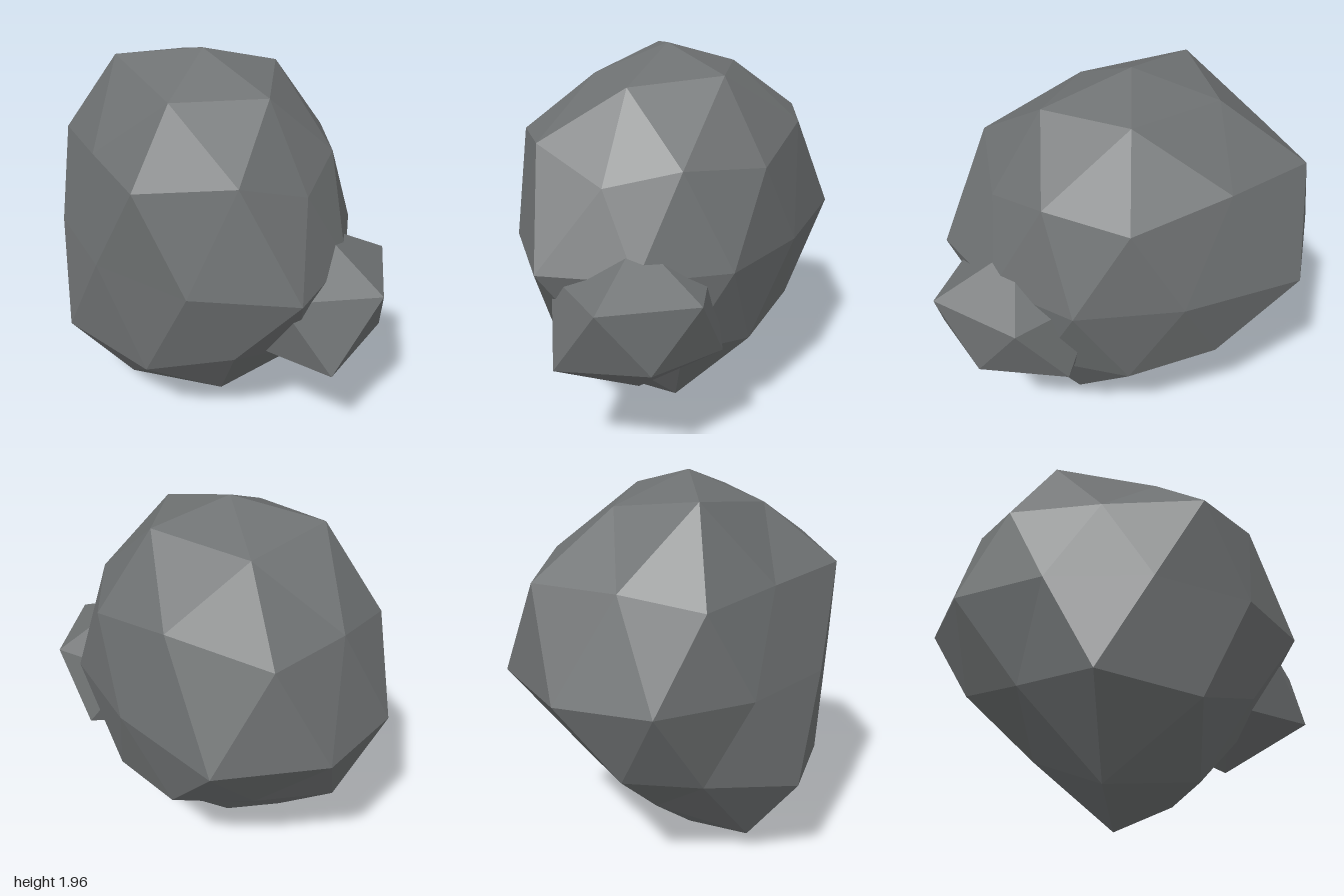
import * as THREE from 'three';
import { ConvexGeometry } from 'three/addons/geometries/ConvexGeometry.js';

// Latitudes of the icosphere rings, as sine values
const VERT = 0.4472, MID = 0.5257, CAP = 0.8507;

// Each ring: sine of latitude, first angle in degrees, then the reach of each
// point around it (angle runs from +x towards +z, evenly spaced).
const bigRings = [
  [1, 0, [0.93]],
  [CAP, 0, [0.936, 0.911, 1.005, 0.935, 0.968]],
  [VERT, 0, [0.87, 1.075, 0.972, 1.115, 0.975]],
  [MID, 36, [1.02, 0.885, 0.95, 1.025, 0.9]],
  [0, 18, [1.065, 0.98, 0.95, 0.92, 0.993, 1.06, 1.155, 0.945, 0.955, 0.915]],
  [-MID, 0, [0.9, 1.035, 0.878, 0.82, 0.93]],
  [-VERT, 36, [0.925, 1.112, 0.917, 0.95, 0.93]],
  [-CAP, 36, [0.957, 1.075, 0.84, 0.82, 0.97]],
  [-1, 0, [1.03]],
];

const smallRings = [
  [1, 0, [0.46]],
  [VERT, 0, [0.475, 0.46, 0.46, 0.46, 0.45]],
  [-VERT, 36, [0.4975, 0.46, 0.46, 0.455, 0.385]],
  [-1, 0, [0.48]],
];

// Faceted boulder: a regular icosphere whose points are pushed in or out
function makeRock(name, rings, scale, centre, material) {
  const points = [];
  for (const [sine, start, reaches] of rings) {
    const flat = Math.sqrt(1 - sine * sine);
    reaches.forEach((reach, i) => {
      const a = THREE.MathUtils.degToRad(start + (i * 360) / reaches.length);
      const dir = new THREE.Vector3(flat * Math.cos(a), sine, flat * Math.sin(a));
      points.push({ dir, reach });
    });
  }
  const geometry = new ConvexGeometry(points.map((p) => p.dir));
  const pos = geometry.attributes.position;
  const v = new THREE.Vector3();
  for (let i = 0; i < pos.count; i++) {
    v.fromBufferAttribute(pos, i);
    const nearest = points.reduce((a, b) => (b.dir.dot(v) > a.dir.dot(v) ? b : a));
    v.multiplyScalar(nearest.reach).multiply(scale);
    pos.setXYZ(i, v.x, v.y, v.z);
  }
  geometry.computeVertexNormals();
  const mesh = new THREE.Mesh(geometry, material);
  mesh.name = name;
  mesh.position.copy(centre);
  return mesh;
}

export function createModel() {
  const group = new THREE.Group();
  group.name = 'rockCluster';
  const stone = new THREE.MeshStandardMaterial({ color: 0x6e7172, flatShading: true });
  stone.name = 'greyStone';

  // Main boulder
  group.add(makeRock('mainBoulder', bigRings,
    new THREE.Vector3(0.915, 1, 0.747), new THREE.Vector3(-0.08, 1.03, 0), stone));
  // Small stone set into its left side
  group.add(makeRock('sideStone', smallRings,
    new THREE.Vector3(1, 0.85, 1), new THREE.Vector3(0.577, 0.8, -0.15), stone));
  return group;
}
